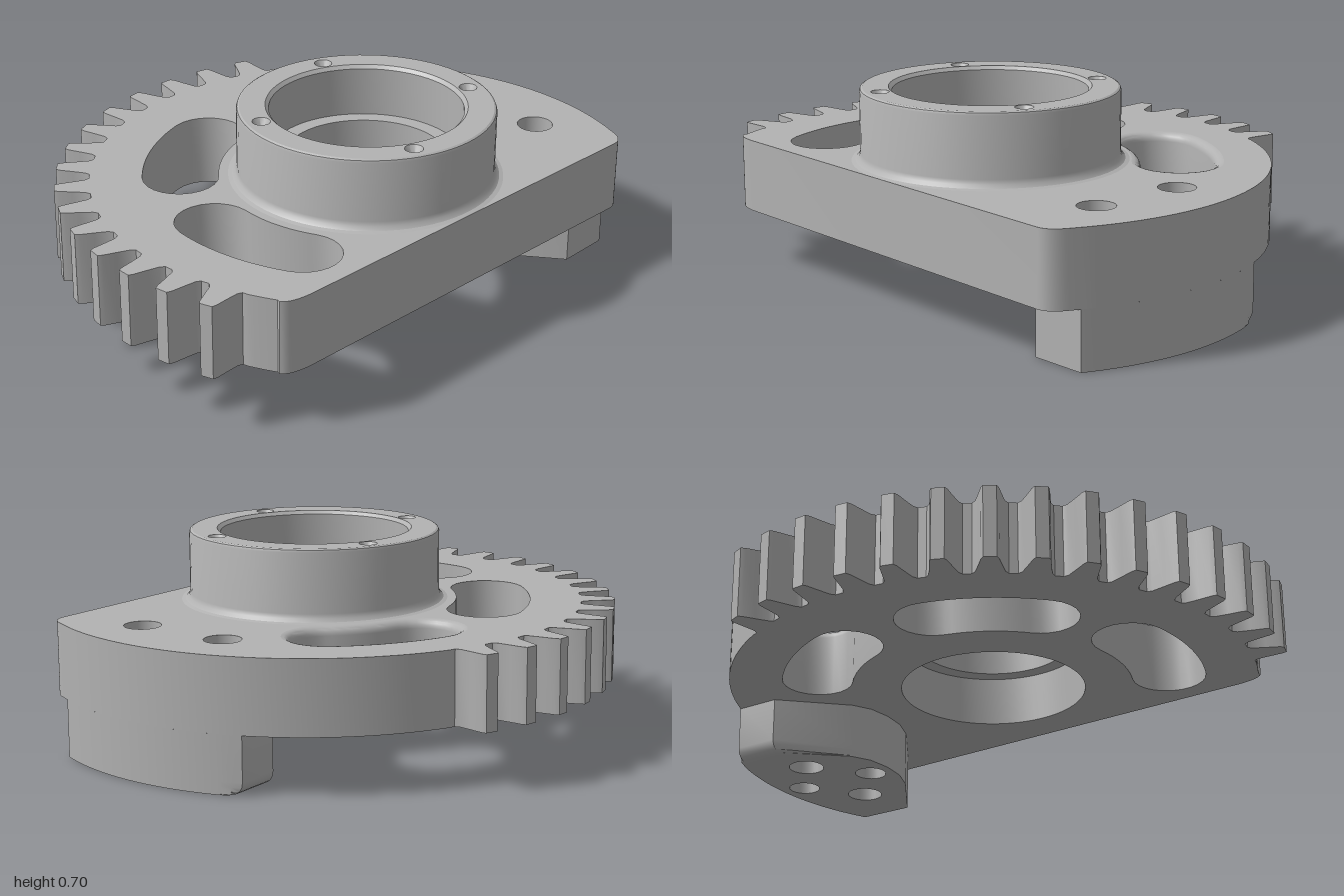
import * as THREE from 'three';
import { toCreasedNormals } from 'three/addons/utils/BufferGeometryUtils.js';

const CX = 0.055, CZ = 0.28;              // shared axis of hub, gear and slots
const TOP = 0.455, UNDER = 0.2, HUB = 0.705, RIM = 0.945;
const rad = THREE.MathUtils.degToRad;
const steel = new THREE.MeshStandardMaterial({ color: 0xb2b2b2 });
steel.name = 'steel grey';

const V = (x, z) => new THREE.Vector2(x, z);
// Plan point at radius r; angle in degrees from the back (-z) towards +x
const polar = (r, deg) => V(CX + r * Math.sin(rad(deg)), CZ - r * Math.cos(rad(deg)));

function arc(r, from, to, n) {
  return Array.from({ length: n + 1 }, (_, i) => polar(r, from + (to - from) * i / n));
}

function circle(x, z, r, n = 32) {
  return Array.from({ length: n }, (_, i) => {
    const t = i / n * Math.PI * 2;
    return V(x + r * Math.cos(t), z + r * Math.sin(t));
  });
}

// Curved slot with round ends, following the hub
function slot(from, to, w) {
  const cap = (deg, start) => {
    const c = polar(0.632, deg), a = rad(deg);
    return Array.from({ length: 11 }, (_, i) => {
      const t = start + (i + 1) * Math.PI / 12, u = w * Math.cos(t), v = w * Math.sin(t);
      return V(c.x + u * Math.sin(a) + v * Math.cos(a), c.y - u * Math.cos(a) + v * Math.sin(a));
    });
  };
  return [...arc(0.632 + w, from, to, 12), ...cap(to, 0),
    ...arc(0.632 - w, to, from, 12), ...cap(from, Math.PI)];
}

// Wall through matching plan loops, listed from top to bottom as [y, points]
function wall(levels, isHole = false) {
  const flip = THREE.ShapeUtils.isClockWise(levels[0][1]) !== isHole;
  const loops = levels.map(([y, pts]) => [y, flip ? [...pts].reverse() : pts]);
  const n = loops[0][1].length, pos = [], idx = [];
  for (const [y, pts] of loops) for (const p of pts) pos.push(p.x, y, p.y);
  for (let l = 0; l < loops.length - 1; l++) {
    for (let i = 0; i < n; i++) {
      const a = l * n + i, b = l * n + (i + 1) % n;
      idx.push(a, b, a + n, b, b + n, a + n);
    }
  }
  const g = new THREE.BufferGeometry();
  g.setAttribute('position', new THREE.Float32BufferAttribute(pos, 3));
  g.setIndex(idx);
  return toCreasedNormals(g, 0.6);
}

// Flat horizontal face with holes, facing up or down
function face(y, outline, holes, up) {
  const shape = new THREE.Shape(outline);
  shape.holes = holes.map((h) => new THREE.Path(h));
  const g = new THREE.ShapeGeometry(shape).rotateX(Math.PI / 2).translate(0, y, 0);
  if (up) g.setIndex([...g.index.array].reverse());
  g.computeVertexNormals();
  return g;
}

function lathe(profile) {
  const g = new THREE.LatheGeometry(profile.map(([r, y]) => V(r, y)), 72);
  return toCreasedNormals(g.translate(CX, 0, CZ), 0.5);
}

function plateOutline() {
  const tooth = [[3.6, 0.942], [2.9, 0.956], [2.2, 1.0], [1.6, 1.045], [1.2, 1.06]];
  const pts = arc(RIM, 116, 26.5, 40);
  for (let k = 0; k < 15; k++) {
    const c = 21.7 - 9 * k;
    for (const [d, r] of tooth) pts.push(polar(r, c + d));
    for (const [d, r] of [...tooth].reverse()) pts.push(polar(r, c - d));
  }
  pts.push(...arc(RIM, -109, -115, 4));
  const corner = (a, b, c) => new THREE.QuadraticBezierCurve(a, b, c).getPoints(8);
  pts.push(...corner(V(-0.805, 0.69), V(-0.785, 0.722), V(-0.7, 0.727)));
  pts.push(...corner(V(0.82, 0.775), V(0.87, 0.775), V(0.897, 0.71)));
  return pts;
}

export function createModel() {
  const model = new THREE.Group();
  model.name = 'sectorGear';
  const add = (parent, name, geometry) => {
    const mesh = new THREE.Mesh(geometry, steel);
    mesh.name = name;
    parent.add(mesh);
  };
  const group = (name) => {
    const g = new THREE.Group();
    g.name = name;
    model.add(g);
    return g;
  };

  // Toothed plate with three slots, one of them rounded at its upper edge
  const plate = group('toothedPlate');
  const outline = plateOutline();
  const plainSlots = [slot(-113, -80, 0.13), slot(-47.5, -14, 0.13)];
  const roundSlot = (grow) => slot(19.7, 49.5, 0.125 + grow);
  const bolts = [circle(0.77, 0.12, 0.063), circle(0.76, 0.47, 0.063)];
  const bore = circle(CX, CZ, 0.33, 72);
  const common = [...plainSlots, ...bolts, bore];
  add(plate, 'plateTop', face(TOP, outline, [...common, roundSlot(0.03)], true));
  add(plate, 'plateUnderside', face(UNDER, outline, [...common, roundSlot(0)], false));
  add(plate, 'toothedRim', wall([[TOP, outline], [UNDER, outline]]));
  for (const s of plainSlots) add(plate, 'slotWall', wall([[TOP, s], [UNDER, s]], true));
  const rounded = [0, 18, 36, 54, 72, 90].map((d) =>
    [TOP - 0.03 * (1 - Math.cos(rad(d))), roundSlot(0.03 * (1 - Math.sin(rad(d))))]);
  add(plate, 'roundedSlotWall', wall([...rounded, [UNDER, roundSlot(0)]], true));
  for (const b of bolts) add(plate, 'boltHole', wall([[TOP, b], [0, b]], true));

  // Raised hub with a fillet at its foot and a lip inside the bore
  const hub = group('hub');
  add(hub, 'hubOutside', lathe([[0.47, TOP], [0.456, 0.459], [0.445, 0.47], [0.44, 0.485],
    [0.44, 0.693], [0.437, 0.701], [0.43, HUB]]));
  add(hub, 'hubBore', lathe([[0.342, HUB], [0.33, 0.693], [0.33, 0.52], [0.275, 0.52],
    [0.275, 0.38], [0.33, 0.38], [0.33, UNDER]]));
  const screws = [25, 115, 205, 295].map((deg) => polar(0.38, deg));
  add(hub, 'hubTop', face(HUB, circle(CX, CZ, 0.43, 72),
    [circle(CX, CZ, 0.342, 72), ...screws.map((p) => circle(p.x, p.y, 0.031, 20))], true));
  for (const p of screws) {
    const ring = (r) => circle(p.x, p.y, r, 20);
    add(hub, 'screwHole', wall([[HUB, ring(0.031)], [0.675, ring(0.014)]], true));
    add(hub, 'screwHoleFloor', face(0.675, ring(0.014), [], true));
  }

  // Mounting pad under the right-hand edge, rounded at its lower back edge
  const pad = group('mountingPad');
  const padPlan = [...arc(RIM, 67.6, 115, 20), V(0.71, 0.68), V(0.565, 0.46),
    V(0.53, 0.37), V(0.52, 0.28), V(0.53, 0.19), V(0.565, 0.12), V(0.77, -0.08)];
  const back = Math.min(...padPlan.map((p) => p.y));
  const padLevels = [[UNDER, padPlan]];
  for (const d of [0, 22.5, 45, 67.5, 90]) {
    const limit = back + 0.045 * (1 - Math.cos(rad(d)));
    padLevels.push([0.045 * (1 - Math.sin(rad(d))),
      padPlan.map((p) => V(p.x, Math.max(p.y, limit)))]);
  }
  const blind = [circle(0.61, 0.3, 0.056), circle(0.91, 0.29, 0.056)];
  add(pad, 'padSide', wall(padLevels));
  add(pad, 'padBottom', face(0, padLevels.at(-1)[1], [...bolts, ...blind], false));
  for (const b of blind) {
    add(pad, 'blindHole', wall([[0.14, b], [0, b]], true));
    add(pad, 'blindHoleEnd', face(0.14, b, [], false));
  }
  return model;
}
